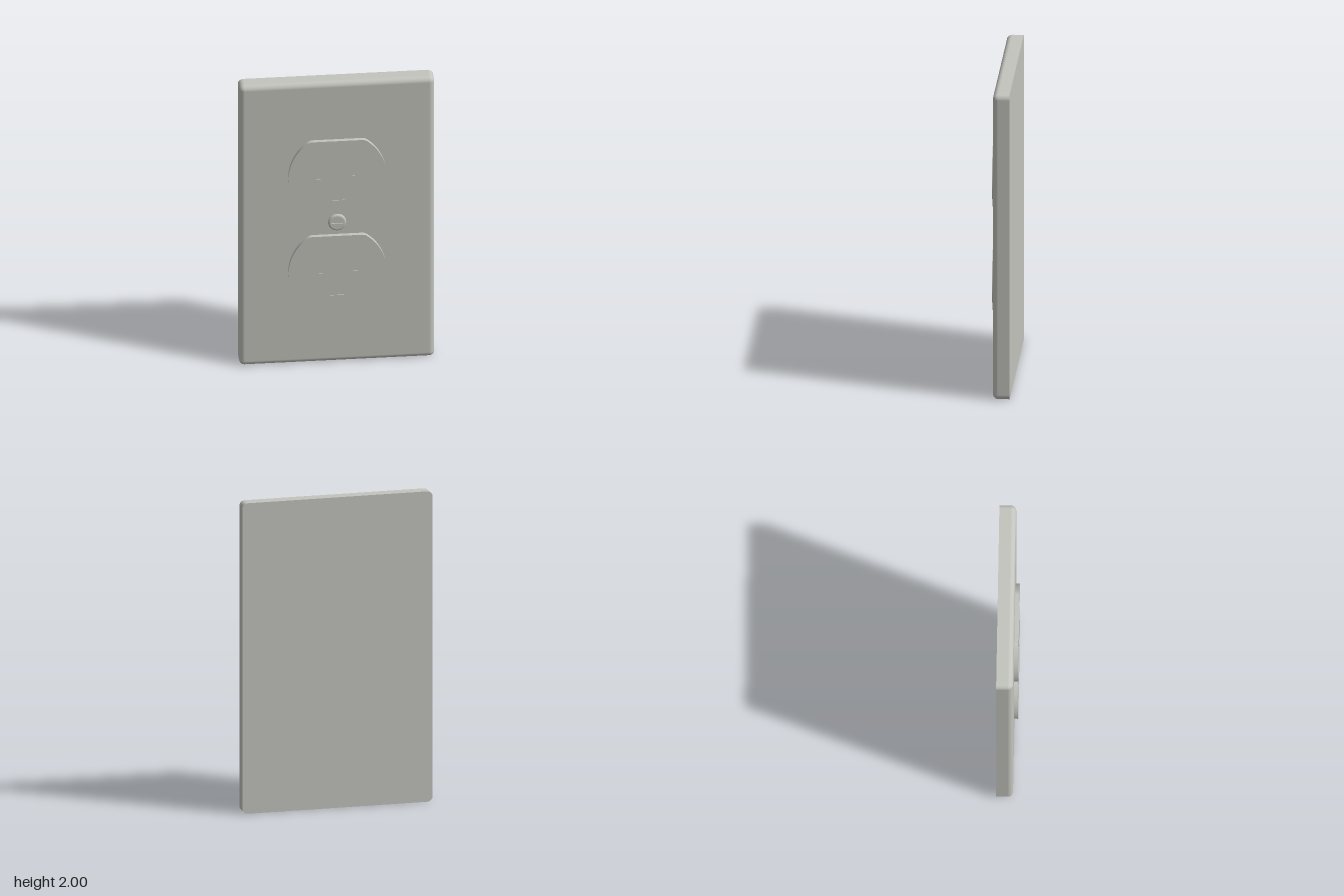
import * as THREE from 'three';
import { toCreasedNormals } from 'three/addons/utils/BufferGeometryUtils.js';
import { RoundedBoxGeometry } from 'three/addons/geometries/RoundedBoxGeometry.js';

const BACK = -0.067, PLATE_FRONT = 0.038, FACE_FRONT = 0.065;

const plastic = new THREE.MeshStandardMaterial({ color: 0xc4c4be });
plastic.name = 'warm grey plastic';

function part(name, geometry, parent) {
  const mesh = new THREE.Mesh(geometry, plastic);
  mesh.name = name;
  parent.add(mesh);
  return mesh;
}

// Extrudes an outline between two depths, smooth around its curves
function slab(shape, z0, z1) {
  const geo = new THREE.ExtrudeGeometry(shape, { depth: z1 - z0, bevelEnabled: false, curveSegments: 24 });
  geo.translate(0, 0, z0);
  return toCreasedNormals(geo, 0.6);
}

// Rounded box whose back rounding is pressed flat
function plateGeometry() {
  const r = 0.034;
  const depth = PLATE_FRONT - BACK + r;
  const geo = new RoundedBoxGeometry(1.22, 2, depth, 6, r);
  geo.translate(0, 1, PLATE_FRONT - depth / 2);
  const p = geo.attributes.position, n = geo.attributes.normal;
  for (let i = 0; i < p.count; i++) p.setZ(i, Math.max(p.getZ(i), BACK));
  for (let i = 0; i < p.count; i += 3) {
    const flat = [0, 1, 2].every(k => p.getZ(i + k) < BACK + 1e-5);
    if (flat) for (let k = 0; k < 3; k++) n.setXYZ(i + k, 0, 0, -1);
  }
  return geo;
}

// Circle cut flat at top and bottom, with small corner fillets
function receptacleShape() {
  const R = 0.305, H = 0.2525, f = 0.05;
  const cx = Math.sqrt((R - f) ** 2 - (H - f) ** 2), cy = H - f;
  const a = Math.atan2(cy, cx), q = Math.PI / 2;
  const s = new THREE.Shape();
  s.absarc(0, 0, R, -a, a, false);
  s.absarc(cx, cy, f, a, q, false);
  s.absarc(-cx, cy, f, q, Math.PI - a, false);
  s.absarc(0, 0, R, Math.PI - a, Math.PI + a, false);
  s.absarc(-cx, -cy, f, Math.PI + a, 3 * q, false);
  s.absarc(cx, -cy, f, 3 * q, 4 * q - a, false);
  return s;
}

function rectShape(x, y, w, h) {
  return new THREE.Shape([[-1, -1], [1, -1], [1, 1], [-1, 1]]
    .map(([i, j]) => new THREE.Vector2(x + i * w / 2, y + j * h / 2)));
}

// Round-topped earth opening with a flat bottom
function groundShape() {
  const s = new THREE.Shape();
  s.moveTo(-0.045, -0.171);
  s.lineTo(0.045, -0.171);
  s.absarc(0, -0.141, 0.045, 0, Math.PI, false);
  s.closePath();
  return s;
}

function createReceptacle(y) {
  const group = new THREE.Group();
  group.name = 'receptacle';
  group.position.y = y;
  const openings = {
    longSlot: rectShape(-0.112, 0.06, 0.038, 0.148),
    shortSlot: rectShape(0.111, 0.06, 0.036, 0.122),
    groundHole: groundShape(),
  };
  const face = receptacleShape();
  face.holes.push(...Object.values(openings));
  part('receptacleFace', slab(face, 0.03, FACE_FRONT), group);
  // Shallow floors inside the openings
  for (const [name, shape] of Object.entries(openings)) {
    const floor = part(name, new THREE.ShapeGeometry(shape, 24), group);
    floor.position.z = FACE_FRONT - 0.004;
  }
  return group;
}

function createScrew() {
  const group = new THREE.Group();
  group.name = 'screw';
  group.position.y = 1.003;
  // Rounded rim
  const rim = [[0.057, 0.03], [0.057, 0.044], [0.0555, 0.048], [0.052, 0.051], [0.046, 0.053]]
    .map(([r, z]) => new THREE.Vector2(r, z));
  part('screwRim', new THREE.LatheGeometry(rim, 48).rotateX(Math.PI / 2), group);
  // Slotted centre
  const slot = rectShape(0, 0, 0.07, 0.009);
  const cap = new THREE.Shape().absarc(0, 0, 0.046, 0, Math.PI * 2, false);
  cap.holes.push(slot);
  part('screwCap', slab(cap, 0.04, 0.053), group);
  part('screwSlot', new THREE.ShapeGeometry(slot), group).position.z = 0.046;
  return group;
}

export function createModel() {
  const model = new THREE.Group();
  model.name = 'wallOutlet';
  part('coverPlate', plateGeometry(), model);
  for (const y of [1.343, 0.664]) model.add(createReceptacle(y));
  model.add(createScrew());
  return model;
}
